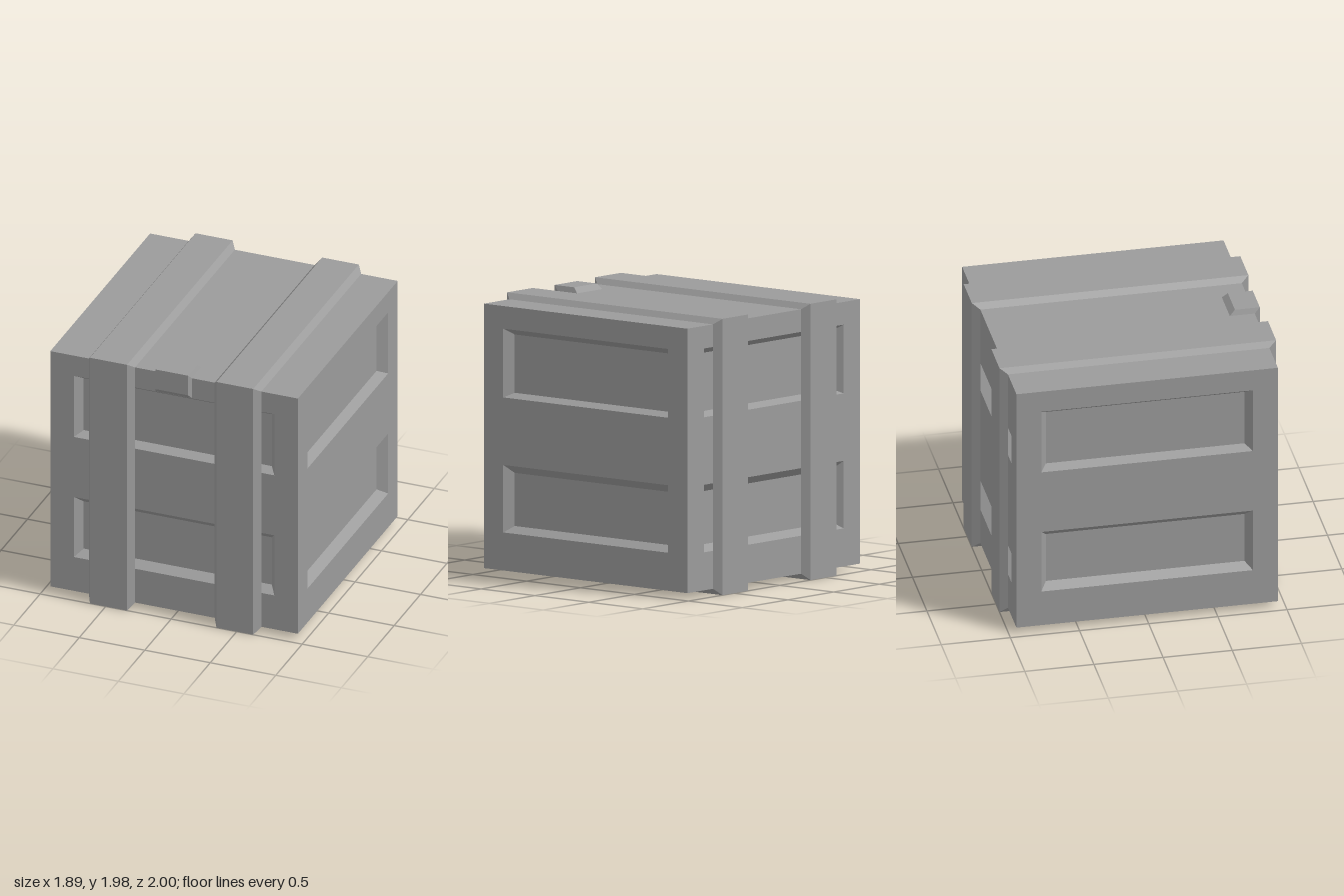
import * as THREE from 'three';

const material = new THREE.MeshStandardMaterial({ color: 0x9b9b9b, flatShading: true });

// crate body limits and recess depth
const HALF = 0.945, LOW = 0.045, HIGH = 1.937, RECESS_DEPTH = 0.07;

function addMesh(parent, name, geometry) {
  const mesh = new THREE.Mesh(geometry, material);
  mesh.name = name;
  parent.add(mesh);
  return mesh;
}

// Joins successive closed loops of points with flat quads
function loft(rings) {
  const pos = [];
  for (let i = 0; i < rings.length - 1; i++) {
    const r = rings[i], s = rings[i + 1], n = r.length;
    for (let j = 0; j < n; j++) {
      const k = (j + 1) % n;
      pos.push(...r[j], ...r[k], ...s[k], ...r[j], ...s[k], ...s[j]);
    }
  }
  const g = new THREE.BufferGeometry();
  g.setAttribute('position', new THREE.Float32BufferAttribute(pos, 3));
  g.computeVertexNormals();
  return g;
}

// Bevelled band section: wide at its base [y, z], narrower at its outer face [y, z]
const section = ([b0, b1], [o0, o1], base, outer) =>
  [[b0, ...base], [o0, ...outer], [o1, ...outer], [b1, ...base]];

const rect = (w, y0, y1, z) => [[-w, y0, z], [w, y0, z], [w, y1, z], [-w, y1, z]];

// One side wall facing +z with two sunken panels
function createSide() {
  const side = new THREE.Group();
  side.name = 'sideWall';
  const outline = (w, y0, y1, Type) =>
    new Type(rect(w, y0, y1, 0).map(([x, y]) => new THREE.Vector2(x, y)));
  const wall = outline(HALF, LOW, HIGH, THREE.Shape);
  const recesses = [[0.317, 0.80, 0.36, 0.74], [1.283, 1.775, 1.313, 1.73]];
  for (const [y0, y1, in0, in1] of recesses) {
    wall.holes.push(outline(0.765, y0, y1, THREE.Path));
    const back = HALF - RECESS_DEPTH;
    addMesh(side, 'recessRim', loft([rect(0.765, y0, y1, HALF), rect(0.718, in0, in1, back)]));
    addMesh(side, 'recessPanel', new THREE.PlaneGeometry(1.436, in1 - in0))
      .position.set(0, (in0 + in1) / 2, back);
  }
  addMesh(side, 'wallFrame', new THREE.ShapeGeometry(wall)).position.z = HALF;
  return side;
}

export function createModel() {
  const crate = new THREE.Group();
  crate.name = 'crate';

  // four walls
  for (let i = 0; i < 4; i++) {
    const side = createSide();
    side.rotation.y = i * Math.PI / 2;
    crate.add(side);
  }

  // lid and floor
  const lid = addMesh(crate, 'lid', new THREE.PlaneGeometry(2 * HALF, 2 * HALF));
  lid.position.y = HIGH;
  lid.rotation.x = -Math.PI / 2;
  const floor = addMesh(crate, 'floor', new THREE.PlaneGeometry(2 * HALF, 2 * HALF));
  floor.position.y = LOW;
  floor.rotation.x = Math.PI / 2;

  // two bevelled straps wrapped around top, back, bottom and front
  const corners = [[1, 1], [1, -1], [0, -1], [0, 1], [1, 1]];
  const straps = [
    ['rightStrap', [-0.65, -0.298], [-0.62, -0.337]],
    ['leftStrap', [0.31, 0.666], [0.346, 0.626]],
  ];
  for (const [name, base, outer] of straps) {
    addMesh(crate, name, loft(corners.map(([up, s]) =>
      section(base, outer, [up ? HIGH : LOW, s * HALF], [up ? 1.977 : 0, s]))));
  }

  // latch folded over the top front edge, bevelled on every border
  const wide = [-0.14, 0.137], narrow = [-0.125, 0.122];
  const bottom = [1.777, HALF], back = [HIGH, 0.765];
  addMesh(crate, 'latch', loft([
    section(wide, wide, bottom, bottom),
    section(wide, narrow, bottom, [1.817, 0.985]),
    section(wide, narrow, [HIGH, HALF], [1.975, 0.985]),
    section(wide, narrow, back, [1.975, 0.805]),
    section(wide, wide, back, back),
  ]));

  return crate;
}
